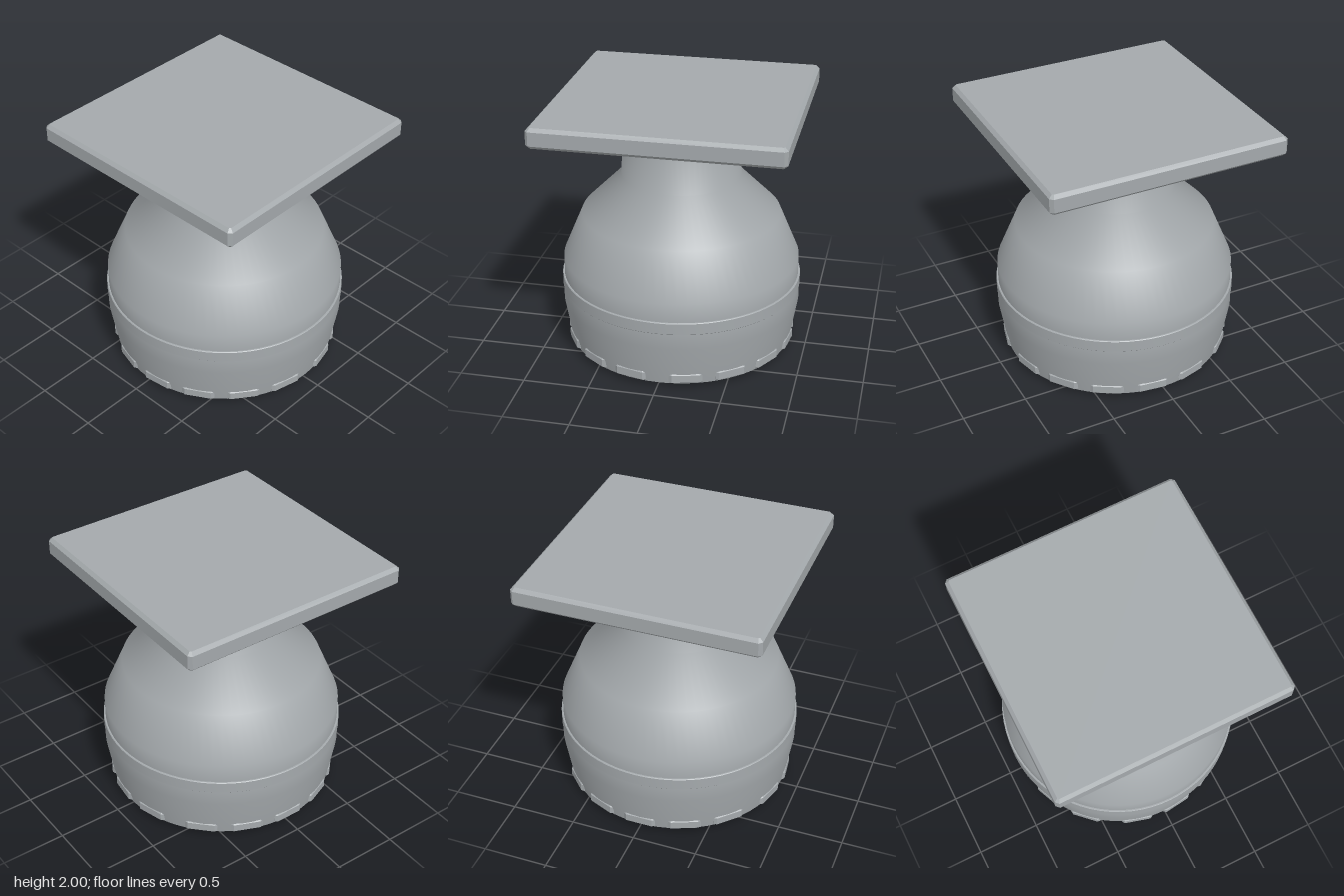
import * as THREE from 'three';
import { toCreasedNormals } from 'three/addons/utils/BufferGeometryUtils.js';

export function createModel() {
  const group = new THREE.Group();
  const grey = new THREE.MeshStandardMaterial({ color: 0xa4a9ac });

  const add = (name, geometry) => {
    const mesh = new THREE.Mesh(geometry, grey);
    mesh.name = name;
    group.add(mesh);
    return mesh;
  };
  const lathe = (points) =>
    new THREE.LatheGeometry(points.map(([r, y]) => new THREE.Vector2(r, y)), 72);

  // Bell-shaped outer shell, listed from the bottom up
  add('shell', lathe([
    [0.87, 0.035], [0.925, 0.36], [0.925, 0.5], [0.915, 0.58], [0.915, 0.72],
    [0.765, 1.075], [0.46, 1.38], [0.425, 1.86],
  ]));

  // Sloping rim around the bottom opening
  add('bottomRim', lathe([[0.76, 0], [0.87, 0.035]]));

  // Hollow inside, listed from the top down so it faces inwards
  add('innerWall', lathe([
    [0, 1.8], [0.36, 1.8], [0.4, 1.36], [0.7, 1.04], [0.84, 0.7],
    [0.84, 0.36], [0.76, 0.1], [0.76, 0],
  ]));

  // Raised belt
  add('belt', toCreasedNormals(lathe([
    [0.9, 0.48], [0.925, 0.48], [0.93, 0.485], [0.93, 0.57], [0.925, 0.575], [0.9, 0.575],
  ]), 0.6));

  // Square top plate with chamfered edges and corners
  const a = 0.9, b = 0.89;
  const square = new THREE.Shape(
    [[a, -b], [a, b], [b, a], [-b, a], [-a, b], [-a, -b], [-b, -a], [b, -a]]
      .map(([x, y]) => new THREE.Vector2(x, y)));
  const plate = new THREE.ExtrudeGeometry(square, {
    depth: 0.105, bevelEnabled: true, bevelSegments: 1, bevelSize: 0.025, bevelThickness: 0.025,
  });
  plate.rotateX(-Math.PI / 2);
  add('topPlate', plate).position.y = 1.87;

  // Grip lugs: three groups of five around the foot, with tapered outer ends
  const lugShape = new THREE.Shape([
    [-0.127, -0.1], [0.127, -0.1], [0.127, 0.01], [0.105, 0.028], [-0.105, 0.028], [-0.127, 0.01],
  ].map(([x, y]) => new THREE.Vector2(x, y)));
  const lug = new THREE.ExtrudeGeometry(lugShape, {
    depth: 0.059, bevelEnabled: true, bevelSegments: 1, bevelSize: 0.008,
    bevelThickness: 0.008, bevelOffset: -0.008,
  });
  lug.rotateX(-Math.PI / 2);
  lug.scale(1, 1, -1);
  // Mirroring flips the faces, so swap two corners of every triangle
  const pos = lug.attributes.position;
  for (let i = 0; i < pos.count; i += 3) {
    const p = new THREE.Vector3().fromBufferAttribute(pos, i + 1);
    const q = new THREE.Vector3().fromBufferAttribute(pos, i + 2);
    pos.setXYZ(i + 1, q.x, q.y, q.z);
    pos.setXYZ(i + 2, p.x, p.y, p.z);
  }
  lug.computeVertexNormals();
  for (let g = 0; g < 3; g++) {
    for (let i = 0; i < 5; i++) {
      const angle = THREE.MathUtils.degToRad(-16 + g * 120 + i * 23);
      const mesh = add('gripLug', lug);
      mesh.position.set(Math.sin(angle) * 0.86, 0.053, Math.cos(angle) * 0.86);
      mesh.rotation.y = angle;
    }
  }

  // Parallel grille bars across the opening
  for (let i = -2; i <= 2; i++) {
    const z = i * 0.285;
    const length = 2 * Math.sqrt(0.765 ** 2 - (Math.abs(z) + 0.07) ** 2) + 0.02;
    add('grilleBar', new THREE.BoxGeometry(length, 0.05, 0.14)).position.set(0, 0.045, z);
  }

  return group;
}
